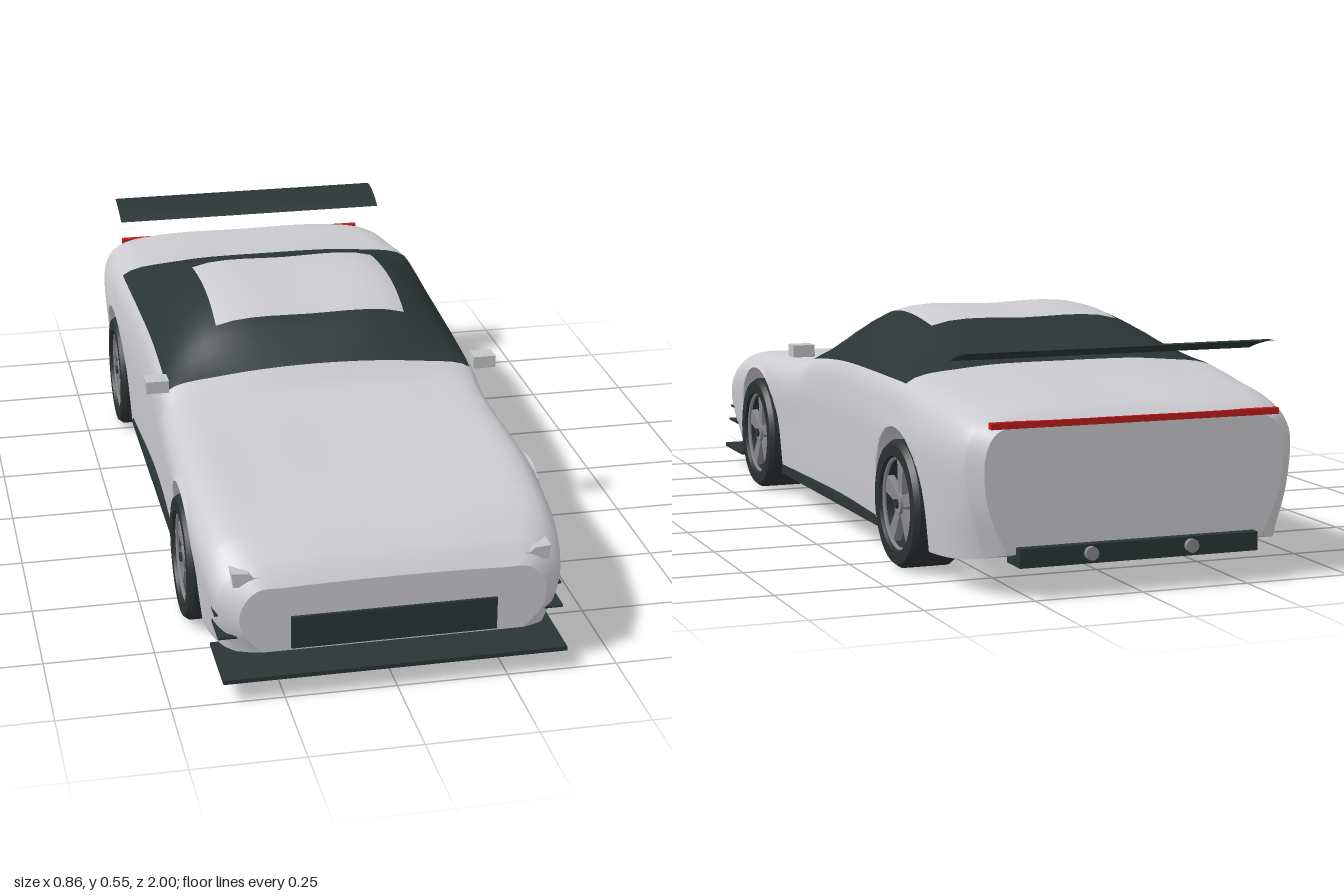
import * as THREE from 'three';
import { toCreasedNormals } from 'three/addons/utils/BufferGeometryUtils.js';

const mat = (name, color, side = THREE.FrontSide) => {
  const m = new THREE.MeshStandardMaterial({ color, side });
  m.name = name;
  return m;
};

// Body stations, front to back: z, crown y, roof edge y, belt x, belt y, flank x
const STATIONS = [
  [0.965, 0.252, 0.248, 0.305, 0.243, 0.34],
  [0.93, 0.288, 0.285, 0.33, 0.272, 0.378],
  [0.85, 0.325, 0.325, 0.355, 0.312, 0.396],
  [0.75, 0.340, 0.341, 0.362, 0.334, 0.404],
  [0.575, 0.354, 0.357, 0.368, 0.353, 0.408],
  [0.30, 0.373, 0.374, 0.368, 0.362, 0.400],
  [0.22, 0.388, 0.385, 0.370, 0.370, 0.398],
  [0.17, 0.428, 0.415, 0.375, 0.387, 0.396],
  [0.05, 0.511, 0.497, 0.375, 0.402, 0.393],
  [-0.10, 0.540, 0.531, 0.375, 0.412, 0.393],
  [-0.32, 0.527, 0.516, 0.380, 0.416, 0.402],
  [-0.45, 0.490, 0.480, 0.384, 0.417, 0.409],
  [-0.565, 0.452, 0.446, 0.386, 0.416, 0.413],
  [-0.70, 0.425, 0.423, 0.378, 0.402, 0.412],
  [-0.85, 0.410, 0.409, 0.364, 0.388, 0.400],
  [-0.93, 0.396, 0.394, 0.348, 0.372, 0.383],
  [-0.965, 0.376, 0.374, 0.322, 0.357, 0.348],
];
const AXLES = [0.575, -0.565], ARCH = 0.175, HUB_Y = 0.145, SUB = 5, WELL_X = 0.28;
const GLASS = [-0.565, 0.17], ROOF = [-0.32, 0.05], ROOF_X = 0.236;

// Smooth interpolation of all station values at z
function stationAt(z) {
  let k = 0;
  while (k < STATIONS.length - 2 && z < STATIONS[k + 1][0]) k++;
  const at = i => STATIONS[Math.min(Math.max(i, 0), STATIONS.length - 1)];
  const [p, a, b, n] = [at(k - 1), at(k), at(k + 1), at(k + 2)];
  const h = b[0] - a[0], t = (z - a[0]) / h, t2 = t * t, t3 = t2 * t;
  return a.map((v, i) => {
    const m0 = (b[i] - p[i]) / (b[0] - p[0]) * h, m1 = (n[i] - v) / (n[0] - a[0]) * h;
    return (2 * t3 - 3 * t2 + 1) * v + (t3 - 2 * t2 + t) * m0 + (3 * t2 - 2 * t3) * b[i] + (t3 - t2) * m1;
  });
}

// Lowest body edge above a wheel
function archY(z) {
  const c = AXLES.find(a => Math.abs(z - a) <= ARCH);
  return c === undefined ? 0 : HUB_Y + Math.sqrt(ARCH ** 2 - (z - c) ** 2);
}

// Cross-section from the left sill over the roof to the right sill; the sill tucks in towards both ends
function ringAt(z) {
  const [, crown, edgeY, beltX, beltY, flankX] = stationAt(z);
  const sillX = flankX - 0.012 - 0.05 * Math.abs(z) ** 10, sillY = 0.066 + 0.045 * Math.abs(z) ** 12;
  const flankY = Math.min(0.33, beltY - 0.045);
  const half = [[sillX, sillY], [flankX - 0.003, (sillY + flankY) / 2], [flankX, flankY], [beltX, beltY], [ROOF_X, edgeY]];
  const pts = [...half, [0, crown], ...half.map(([x, y]) => [-x, y]).reverse()];
  const ring = new THREE.CatmullRomCurve3(pts.map(([x, y]) => new THREE.Vector3(x, y, z))).getPoints(10 * SUB);
  const edge = archY(z);
  ring.forEach(p => { p.y = Math.max(p.y, edge); });
  return { ring, sillY };
}

function ringPositions() {
  const zs = [...GLASS, ...ROOF, ...STATIONS.map(s => s[0])];
  for (let z = -0.94; z < 0.96; z += 0.03) zs.push(z);
  for (const c of AXLES) {
    for (let i = 0; i <= 20; i++) zs.push(c + ARCH * 0.9999 * Math.cos(i * Math.PI / 20));
    zs.push(c + ARCH + 0.0006, c - ARCH - 0.0006);
  }
  return zs.sort((a, b) => b - a).filter((z, i, l) => i === 0 || l[i - 1] - z > 0.0004);
}

// Skin between rows of points; pick chooses the material group of each cell
function loft(rows, pick) {
  const n = rows[0].length, groups = [[], []];
  for (let i = 0; i < rows.length - 1; i++) for (let j = 0; j < n - 1; j++) {
    const a = i * n + j, c = a + n;
    groups[pick((rows[i][0].z + rows[i + 1][0].z) / 2, j)].push(a, c, a + 1, a + 1, c, c + 1);
  }
  const g = new THREE.BufferGeometry().setFromPoints(rows.flat());
  g.setIndex(groups.flat());
  g.addGroup(0, groups[0].length, 0);
  g.addGroup(groups[0].length, groups[1].length, 1);
  g.computeVertexNormals();
  return g;
}

function capGeometry(ring, back) {
  const mid = new THREE.Vector3(0, 0.2, ring[0].z), pts = [];
  ring.forEach((p, j) => {
    const q = ring[(j + 1) % ring.length];
    pts.push(mid, ...(back ? [q, p] : [p, q]));
  });
  const g = new THREE.BufferGeometry().setFromPoints(pts);
  g.computeVertexNormals();
  return g;
}

const shapeOf = pts => new THREE.Shape(pts.map(([x, y]) => new THREE.Vector2(x, y)));

export function createModel() {
  const car = new THREE.Group();
  car.name = 'sportsCar';
  const silver = mat('silver paint', 0xcbcbd0), dark = mat('dark trim', 0x2b3535);
  const metal = mat('wheel metal', 0x88888c), red = mat('tail light red', 0xc01c1c);
  const lamp = mat('lamp grey', 0xc3c5c6), rubber = mat('tyre rubber', 0x2a3131, THREE.DoubleSide);
  const add = (name, geo, m, x = 0, y = 0, z = 0, parent = car) => {
    const mesh = new THREE.Mesh(geo, m);
    mesh.name = name;
    mesh.position.set(x, y, z);
    parent.add(mesh);
    return mesh;
  };
  const box = (name, m, w, h, d, x, y, z) => add(name, new THREE.BoxGeometry(w, h, d), m, x, y, z);
  const within = (z, [a, b]) => z > a && z < b;

  // Body shell with the glass band and roof panel
  const sections = ringPositions().map(ringAt), rings = sections.map(s => s.ring);
  add('bodyShell', loft(rings, (z, j) => {
    const s = Math.floor(j / SUB);
    const glass = s >= 3 && s <= 6 && within(z, GLASS);
    return glass && !((s === 4 || s === 5) && within(z, ROOF)) ? 1 : 0;
  }), [silver, dark]);
  add('noseCap', capGeometry(rings[0], false), silver);
  add('tailCap', capGeometry(rings[rings.length - 1], true), silver);

  // Floor and wheel wells
  const under = loft(sections.map(({ ring, sillY }) => {
    const f = ring[0], l = ring[ring.length - 1], v = (x, y) => new THREE.Vector3(x, y, f.z);
    return [l, v(-WELL_X, l.y), v(-WELL_X, sillY), v(WELL_X, sillY), v(WELL_X, f.y), f];
  }), () => 0).toNonIndexed();
  under.computeVertexNormals();
  add('underbody', under, silver);

  // Front and rear trim
  box('grille', dark, 0.46, 0.076, 0.008, 0, 0.14, 0.968);
  box('frontSplitter', dark, 0.77, 0.01, 0.175, 0, 0.05, 0.9125);
  box('tailLight', red, 0.675, 0.014, 0.016, 0, 0.372, -0.96);
  box('rearDiffuser', dark, 0.56, 0.042, 0.075, 0, 0.09, -0.95);

  // Curved rear wing
  const wing = new THREE.Shape();
  wing.moveTo(0.78, 0.49);
  wing.quadraticCurveTo(0.835, 0.522, 0.9, 0.519);
  wing.quadraticCurveTo(0.835, 0.51, 0.78, 0.49);
  const wingGeo = new THREE.ExtrudeGeometry(wing, { depth: 0.72, bevelEnabled: false, curveSegments: 10 });
  wingGeo.rotateY(Math.PI / 2).translate(-0.36, 0, 0);
  add('rearWing', toCreasedNormals(wingGeo, 0.6), dark);

  // Wheel parts, with the axle along x and the outer face at +x
  const profile = [[0.106, -0.062], [0.136, -0.062], [0.145, -0.05], [0.145, 0.05], [0.136, 0.062],
    [0.108, 0.062], [0.104, 0.052], [0.104, -0.05], [0.106, -0.062]].map(([r, h]) => new THREE.Vector2(r, h));
  const tyreGeo = toCreasedNormals(new THREE.LatheGeometry(profile, 48).rotateZ(-Math.PI / 2), 0.5);
  const rimGeo = new THREE.TorusGeometry(0.104, 0.005, 6, 40).rotateY(Math.PI / 2);
  const hubGeo = new THREE.CylinderGeometry(0.024, 0.026, 0.03, 24).rotateZ(-Math.PI / 2);
  const nutGeo = new THREE.CylinderGeometry(0.011, 0.011, 0.008, 16).rotateZ(-Math.PI / 2);
  const spokeShape = shapeOf([[-0.012, 0.015], [0.012, 0.015], [0.019, 0.104], [-0.019, 0.104]]);
  const spokeGeo = new THREE.ExtrudeGeometry(spokeShape, { depth: 0.018, bevelEnabled: false }).rotateY(Math.PI / 2);

  // Slim headlight outline, taller at its outer end
  const lampOutline = [[0.23, 0.251], [0.31, 0.254], [0.318, 0.248], [0.352, 0.248],
    [0.355, 0.281], [0.318, 0.278], [0.308, 0.268], [0.23, 0.266]];

  for (const side of [1, -1]) {
    const tag = side > 0 ? 'left' : 'right';
    const lampShape = shapeOf(lampOutline.map(([x, y]) => [x * side, y]));
    add(tag + 'Headlight', new THREE.ExtrudeGeometry(lampShape, { depth: 0.045, bevelEnabled: false }), lamp, 0, 0, 0.9);
    box(tag + 'Mirror', lamp, 0.055, 0.03, 0.045, side * 0.4035, 0.41, 0.18);
    box(tag + 'SideSkirt', dark, 0.03, 0.024, 0.82, side * 0.379, 0.073, -0.01);
    box(tag + 'LowerCanard', dark, 0.05, 0.005, 0.09, side * 0.362, 0.13, 0.905);
    box(tag + 'UpperCanard', dark, 0.012, 0.005, 0.04, side * 0.384, 0.172, 0.9);
    add(tag + 'Exhaust', new THREE.CylinderGeometry(0.015, 0.015, 0.05, 20).rotateX(Math.PI / 2), metal, side * 0.118, 0.092, -0.975);
    AXLES.forEach((z, i) => {
      const wheel = new THREE.Group();
      wheel.name = tag + (i ? 'RearWheel' : 'FrontWheel');
      wheel.position.set(side * 0.353, HUB_Y, z);
      if (side < 0) wheel.rotation.y = Math.PI;
      add('tyre', tyreGeo, rubber, 0, 0, 0, wheel);
      add('rimRing', rimGeo, metal, 0.05, 0, 0, wheel);
      add('hub', hubGeo, metal, 0.04, 0, 0, wheel);
      add('hubNut', nutGeo, dark, 0.056, 0, 0, wheel);
      for (let k = 0; k < 5; k++) add('spoke', spokeGeo, metal, 0.03, 0, 0, wheel).rotation.x = k * Math.PI * 0.4;
      car.add(wheel);
    });
  }
  return car;
}
